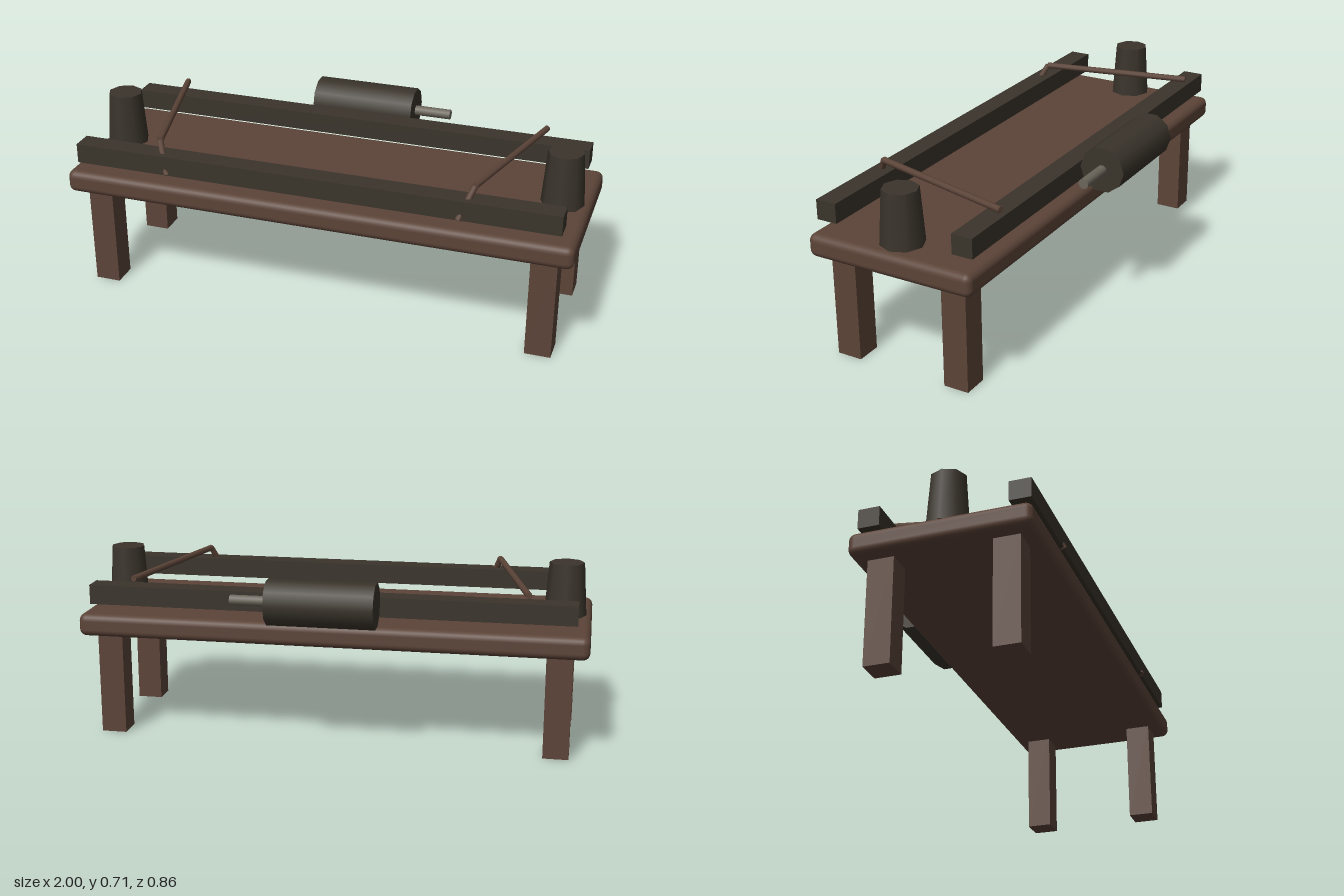
import * as THREE from 'three';
import { RoundedBoxGeometry } from 'three/addons/geometries/RoundedBoxGeometry.js';

export function createModel() {
  const group = new THREE.Group();
  group.name = 'bench';

  const material = (name, color) => {
    const m = new THREE.MeshStandardMaterial({ color });
    m.name = name;
    return m;
  };
  const wood = material('brownWood', 0x5c4438);
  const dark = material('darkIron', 0x3a342b);
  const steel = material('greySteel', 0x6b665b);

  const add = (name, geometry, mat, x, y, z) => {
    const mesh = new THREE.Mesh(geometry, mat);
    mesh.name = name;
    mesh.position.set(x, y, z);
    group.add(mesh);
    return mesh;
  };

  // Round bar running between two points
  const bar = (name, a, b, radius, mat, sides = 8) => {
    const dir = b.clone().sub(a);
    const mid = a.clone().add(b).multiplyScalar(0.5);
    const mesh = add(name, new THREE.CylinderGeometry(radius, radius, dir.length(), sides), mat, mid.x, mid.y, mid.z);
    mesh.quaternion.setFromUnitVectors(new THREE.Vector3(0, 1, 0), dir.normalize());
    return mesh;
  };

  // Soft-edged table top
  add('tableTop', new RoundedBoxGeometry(2, 0.09, 0.68, 3, 0.028), wood, 0, 0.455, 0.088);

  // Long rails floating above the front and back edges
  const railGeometry = new THREE.BoxGeometry(1.9, 0.077, 0.083);
  add('frontRail', railGeometry, dark, 0, 0.58, 0.372);
  add('backRail', railGeometry, dark, 0, 0.58, -0.195);

  const legGeometry = new THREE.BoxGeometry(0.1, 0.42, 0.1);
  const potGeometry = new THREE.CylinderGeometry(0.068, 0.083, 0.21, 8);
  for (const [side, s] of [['left', 1], ['right', -1]]) {
    // Square legs
    add(side + 'FrontLeg', legGeometry, wood, s * 0.888, 0.21, 0.32);
    add(side + 'BackLeg', legGeometry, wood, s * 0.888, 0.21, -0.146);

    // Tapered end post
    add(side + 'Post', potGeometry, dark, s * 0.895, 0.61, 0.086);

    // Bent arm: long slanting bar and short bar down to the front
    const elbow = new THREE.Vector3(s * 0.618, 0.66, 0.356);
    bar(side + 'Arm', elbow, new THREE.Vector3(s * 0.766, 0.651, -0.237), 0.0125, wood);
    bar(side + 'ArmTip', new THREE.Vector3(s * 0.572, 0.543, 0.412), elbow, 0.0125, wood);
  }

  // Roller behind the table with its axle pin
  add('roller', new THREE.CylinderGeometry(0.09, 0.09, 0.415, 10), dark, -0.002, 0.61, -0.337).rotation.z = Math.PI / 2;
  add('rollerAxle', new THREE.CylinderGeometry(0.02, 0.02, 0.2, 10), steel, 0.252, 0.61, -0.337).rotation.z = Math.PI / 2;

  return group;
}
